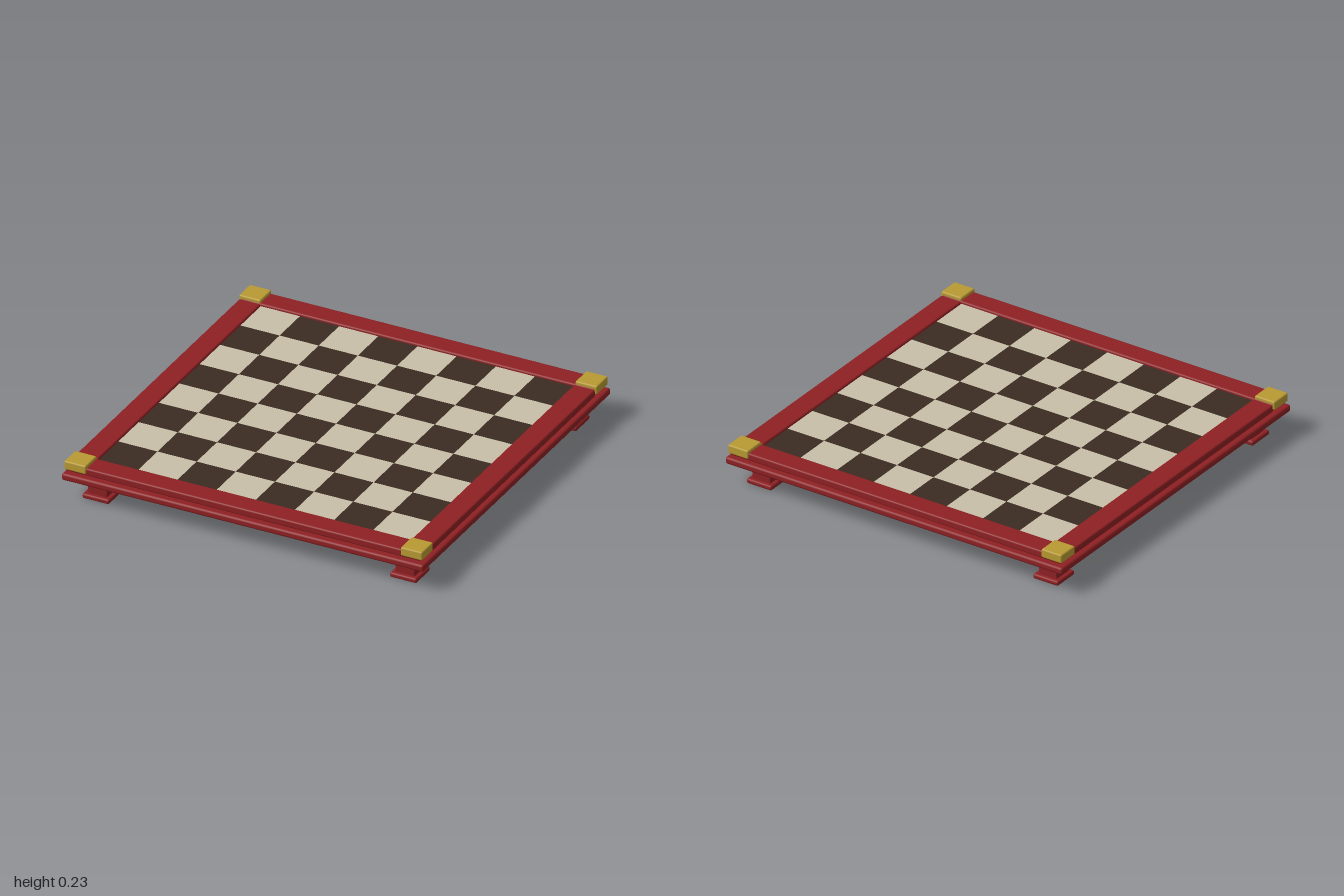
import * as THREE from 'three';
import { RoundedBoxGeometry } from 'three/addons/geometries/RoundedBoxGeometry.js';

const material = (name, color) => {
  const m = new THREE.MeshStandardMaterial({ color });
  m.name = name;
  return m;
};

export function createModel() {
  const red = material('red lacquer', 0x8e2023);
  const gold = material('gold', 0xb89a32);
  const cream = material('cream', 0xc9bfa8);
  const brown = material('dark brown', 0x3b2c22);

  const model = new THREE.Group();
  model.name = 'checkerboard';

  // Box with softened edges, given by its size, centre x/z and bottom height
  const block = (name, mat, w, h, d, x, bottom, z, bevel) => {
    const mesh = new THREE.Mesh(new RoundedBoxGeometry(w, h, d, 2, bevel), mat);
    mesh.name = name;
    mesh.position.set(x, bottom + h / 2, z);
    model.add(mesh);
  };

  // Base slab
  block('baseSlab', red, 2, 0.038, 2, 0, 0.12, 0, 0.012);

  // Playing squares
  const cell = 0.2165;
  const squareGeometry = new THREE.BoxGeometry(cell, 0.022, cell);
  for (let row = 0; row < 8; row++) {
    for (let col = 0; col < 8; col++) {
      const light = (row + col) % 2 === 0;
      const square = new THREE.Mesh(squareGeometry, light ? cream : brown);
      square.name = light ? 'lightSquare' : 'darkSquare';
      square.position.set((col - 3.5) * cell, 0.186, (row - 3.5) * cell);
      model.add(square);
    }
  }

  // Frame rails
  for (const s of [-1, 1]) {
    block(s > 0 ? 'frontRail' : 'backRail', red, 1.96, 0.04, 0.118, 0, 0.17, s * 0.925, 0.009);
    block(s > 0 ? 'leftRail' : 'rightRail', red, 0.118, 0.04, 1.732, s * 0.925, 0.17, 0, 0.009);
  }

  // Corner caps and feet
  for (const sx of [-1, 1]) {
    for (const sz of [-1, 1]) {
      block('cornerCap', gold, 0.12, 0.048, 0.12, sx * 0.93, 0.178, sz * 0.93, 0.008);
      block('footPost', red, 0.106, 0.11, 0.106, sx * 0.85, 0.015, sz * 0.85, 0.005);
      block('footPlate', red, 0.148, 0.026, 0.148, sx * 0.85, 0, sz * 0.85, 0.009);
    }
  }

  return model;
}
